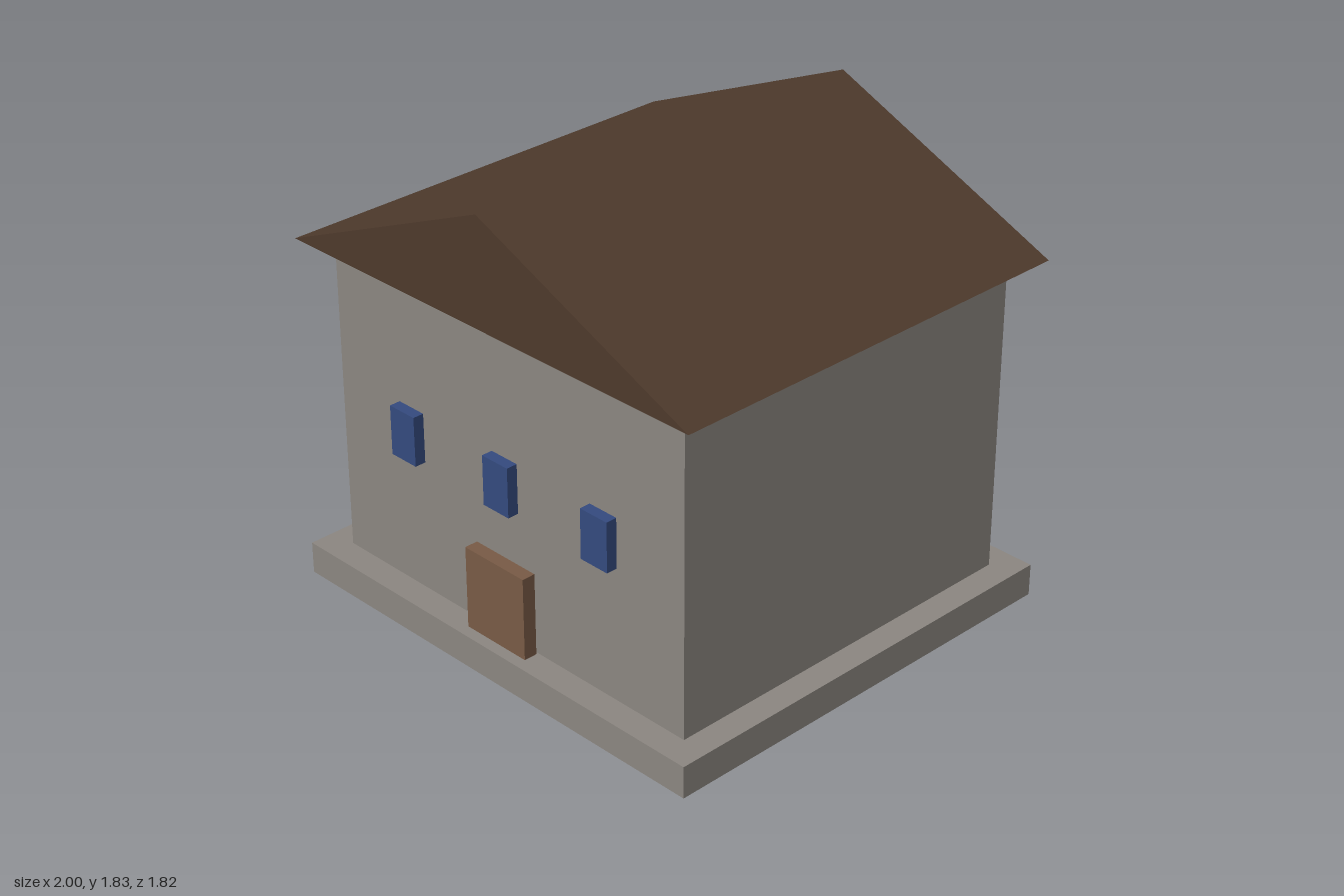
import * as THREE from 'three';

export function createModel() {
  const house = new THREE.Group();
  house.name = 'house';

  const paint = (name, color) => {
    const m = new THREE.MeshStandardMaterial({ color });
    m.name = name;
    return m;
  };
  const stone = paint('stone grey', 0x8b8680);
  const roofBrown = paint('roof brown', 0x4e3a2c);
  const doorBrown = paint('door brown', 0x785a45);
  const glassBlue = paint('window blue', 0x344a7e);

  // Box whose underside sits at the given height
  const addBox = (name, material, [w, h, d], [x, bottom, z]) => {
    const mesh = new THREE.Mesh(new THREE.BoxGeometry(w, h, d), material);
    mesh.name = name;
    mesh.position.set(x, bottom + h / 2, z);
    house.add(mesh);
  };

  // Foundation slab and walls
  addBox('foundation', stone, [2, 0.129, 1.82], [0, 0.001, 0]);
  addBox('walls', stone, [1.78, 1.27, 1.6], [0, 0.13, 0]);

  // Front door, running down through the slab
  addBox('door', doorBrown, [0.305, 0.465, 0.055], [0, 0, 0.836]);

  // Three windows on the front and three on the back
  for (const [side, z] of [['front', 0.82], ['back', -0.82]]) {
    for (const x of [-0.5, 0, 0.5]) {
      addBox(side + 'Window', glassBlue, [0.13, 0.2, 0.05], [x, 0.67, z]);
    }
  }

  // Solid gable roof
  const gable = new THREE.Shape([
    new THREE.Vector2(-1, 1.4),
    new THREE.Vector2(1, 1.4),
    new THREE.Vector2(0, 1.83),
  ]);
  const depth = 1.786;
  const roofGeometry = new THREE.ExtrudeGeometry(gable, { depth, bevelEnabled: false });
  roofGeometry.translate(0, 0, -depth / 2);
  const roof = new THREE.Mesh(roofGeometry, roofBrown);
  roof.name = 'roof';
  house.add(roof);

  return house;
}
